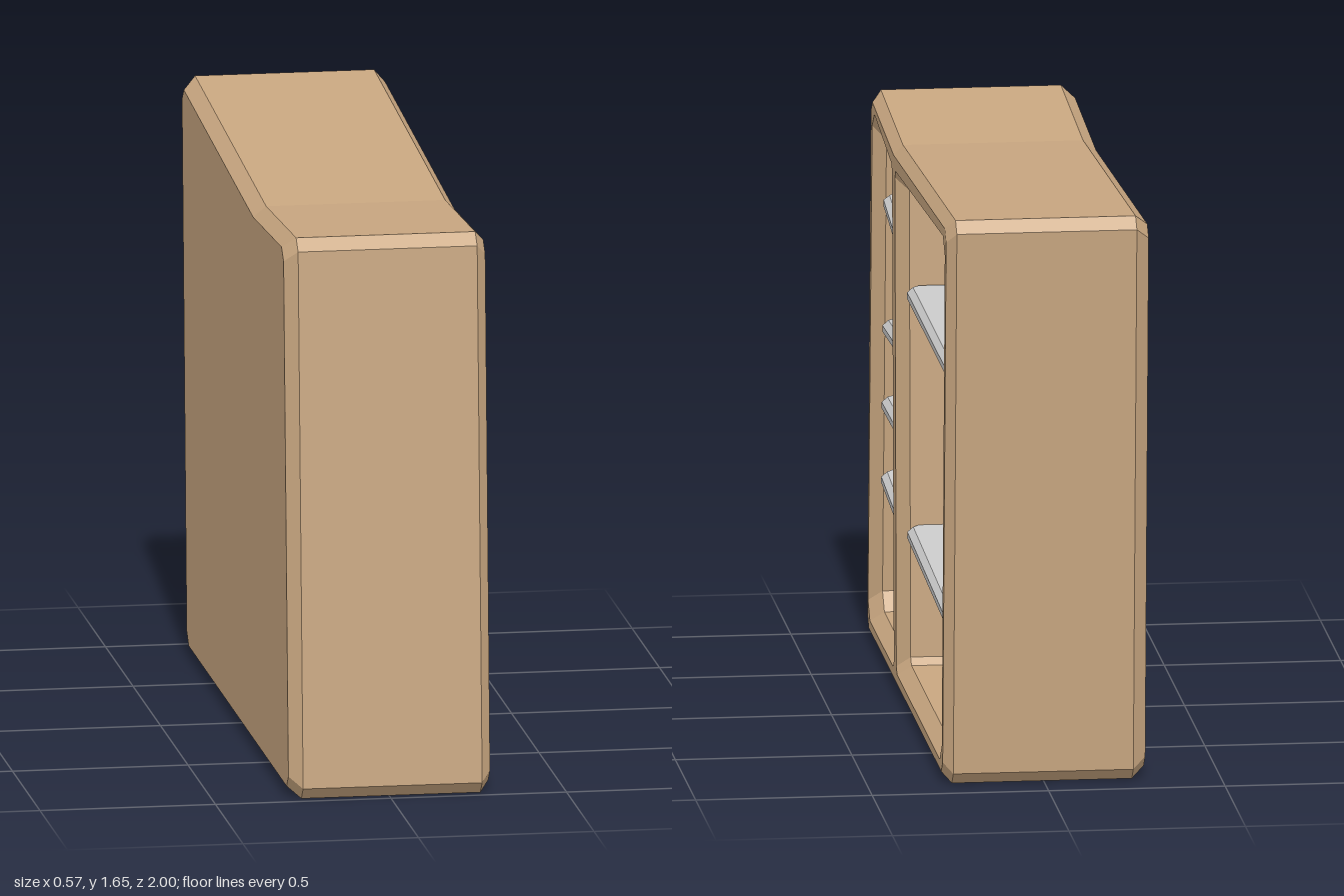
import * as THREE from 'three';
import { mergeGeometries } from 'three/addons/utils/BufferGeometryUtils.js';

const wood = new THREE.MeshStandardMaterial({ color: 0xc8a680, flatShading: true });
const grey = new THREE.MeshStandardMaterial({ color: 0xcccccc, flatShading: true });

// Corners are [u, y, chamfer], counter-clockwise; move every edge inwards by d.
function inset(corners, d) {
  const n = corners.length;
  const normal = (a, b) => new THREE.Vector2(a[1] - b[1], b[0] - a[0]).normalize();
  return corners.map((p, i) => {
    const n1 = normal(corners[(i + n - 1) % n], p);
    const n2 = normal(p, corners[(i + 1) % n]);
    const k = d / (1 + n1.dot(n2));
    return [p[0] + (n1.x + n2.x) * k, p[1] + (n1.y + n2.y) * k, p[2]];
  });
}

// Cut each corner off by its chamfer length.
function loop(corners) {
  const n = corners.length, pts = [];
  corners.forEach(([x, y, c], i) => {
    const p = new THREE.Vector2(x, y);
    if (!c) { pts.push(p); return; }
    for (const k of [n - 1, 1]) {
      const q = corners[(i + k) % n];
      pts.push(new THREE.Vector2(q[0], q[1]).sub(p).setLength(c).add(p));
    }
  });
  return pts;
}

// Walls joining a row of sections {pts, w}.
function walls(sections) {
  const pos = [];
  for (let s = 0; s + 1 < sections.length; s++) {
    const a = sections[s], b = sections[s + 1], n = a.pts.length;
    for (let i = 0; i < n; i++) {
      const j = (i + 1) % n;
      const quad = [[a, i], [a, j], [b, j], [a, i], [b, j], [b, i]];
      for (const [sec, k] of quad) pos.push(sec.pts[k].x, sec.pts[k].y, sec.w);
    }
  }
  const g = new THREE.BufferGeometry();
  g.setAttribute('position', new THREE.Float32BufferAttribute(pos, 3));
  return g;
}

// Flat panel, optionally with holes or facing backwards.
function panel(pts, w, holes = [], flip = false) {
  const shape = new THREE.Shape(pts);
  shape.holes = holes.map((h) => new THREE.Path(h));
  let g = new THREE.ShapeGeometry(shape).translate(0, 0, w);
  if (flip) g.index.array.reverse();
  g = g.toNonIndexed();
  g.deleteAttribute('normal');
  g.deleteAttribute('uv');
  return g;
}

// Chamfered board from (u0, y0) to (u1, y1).
function board(u0, y0, u1, y1) {
  const length = Math.hypot(u1 - u0, y1 - y0), depth = 0.48, t = 0.05, b = 0.016;
  const l = length / 2 - b, d = depth / 2 - b;
  const outline = loop([[-l, -d, 0.02], [l, -d, 0.02], [l, d, 0.02], [-l, d, 0.02]]);
  const g = new THREE.ExtrudeGeometry(new THREE.Shape(outline), {
    depth: t - 2 * b, bevelEnabled: true, bevelSegments: 1, bevelSize: b, bevelThickness: b,
  });
  g.translate(0, 0, b - t / 2).rotateX(-Math.PI / 2);
  g.rotateZ(Math.atan2(y1 - y0, u1 - u0));
  g.translate((u0 + u1) / 2, (y0 + y1) / 2, 0.02);
  return g;
}

export function createModel() {
  const model = new THREE.Group();
  model.name = 'crookedShelfCabinet';
  // Parts are drawn in a (u, y) plane facing +w, then turned to face +x.
  const body = new THREE.Group();
  body.name = 'cabinet';
  body.rotation.y = Math.PI / 2;
  model.add(body);

  // Outer case with chamfered edges
  const outer = [[-1, 0, 0.035], [0.91, 0, 0.035], [1.002, 1.65, 0.035], [-0.325, 1.565, 0], [-0.905, 1.6, 0.035]];
  const full = loop(outer), rim = loop(inset(outer, 0.028)), back = loop(inset(outer, 0.03));
  const parts = [
    panel(back, -0.287, [], true),
    walls([{ pts: back, w: -0.287 }, { pts: full, w: -0.25 }, { pts: full, w: 0.26 }, { pts: rim, w: 0.287 }]),
  ];

  // Two recessed compartments
  const bays = [
    [[-0.955, 0.055, 0.05], [-0.315, 0.055, 0.02], [-0.36, 1.5, 0.02], [-0.845, 1.55, 0.05]],
    [[-0.255, 0.055, 0.02], [0.86, 0.055, 0.05], [0.94, 1.59, 0.05], [-0.29, 1.5, 0.02]],
  ];
  for (const bay of bays) {
    const wall = loop(inset(bay, 0.033)), floor = loop(inset(bay, 0.064));
    parts.push(
      walls([{ pts: loop(bay), w: 0.287 }, { pts: wall, w: 0.25 }, { pts: wall, w: -0.19 }, { pts: floor, w: -0.22 }]),
      panel(floor, -0.22),
    );
  }
  parts.push(panel(rim, 0.287, bays.map(loop)));

  const caseGeometry = mergeGeometries(parts);
  caseGeometry.computeVertexNormals();
  const caseMesh = new THREE.Mesh(caseGeometry, wood);
  caseMesh.name = 'case';
  body.add(caseMesh);

  // Tilted shelves
  const shelves = [
    [-0.835, 1.29, -0.375, 1.225],
    [-0.86, 0.915, -0.365, 0.942],
    [-0.88, 0.69, -0.355, 0.7],
    [-0.89, 0.475, -0.345, 0.433],
    [-0.255, 1.153, 0.89, 1.153],
    [-0.25, 0.463, 0.845, 0.425],
  ];
  shelves.forEach((s, i) => {
    const shelf = new THREE.Mesh(board(...s), grey);
    shelf.name = (i < 4 ? 'narrowShelf' : 'wideShelf') + (i < 4 ? i + 1 : i - 3);
    body.add(shelf);
  });
  return model;
}
